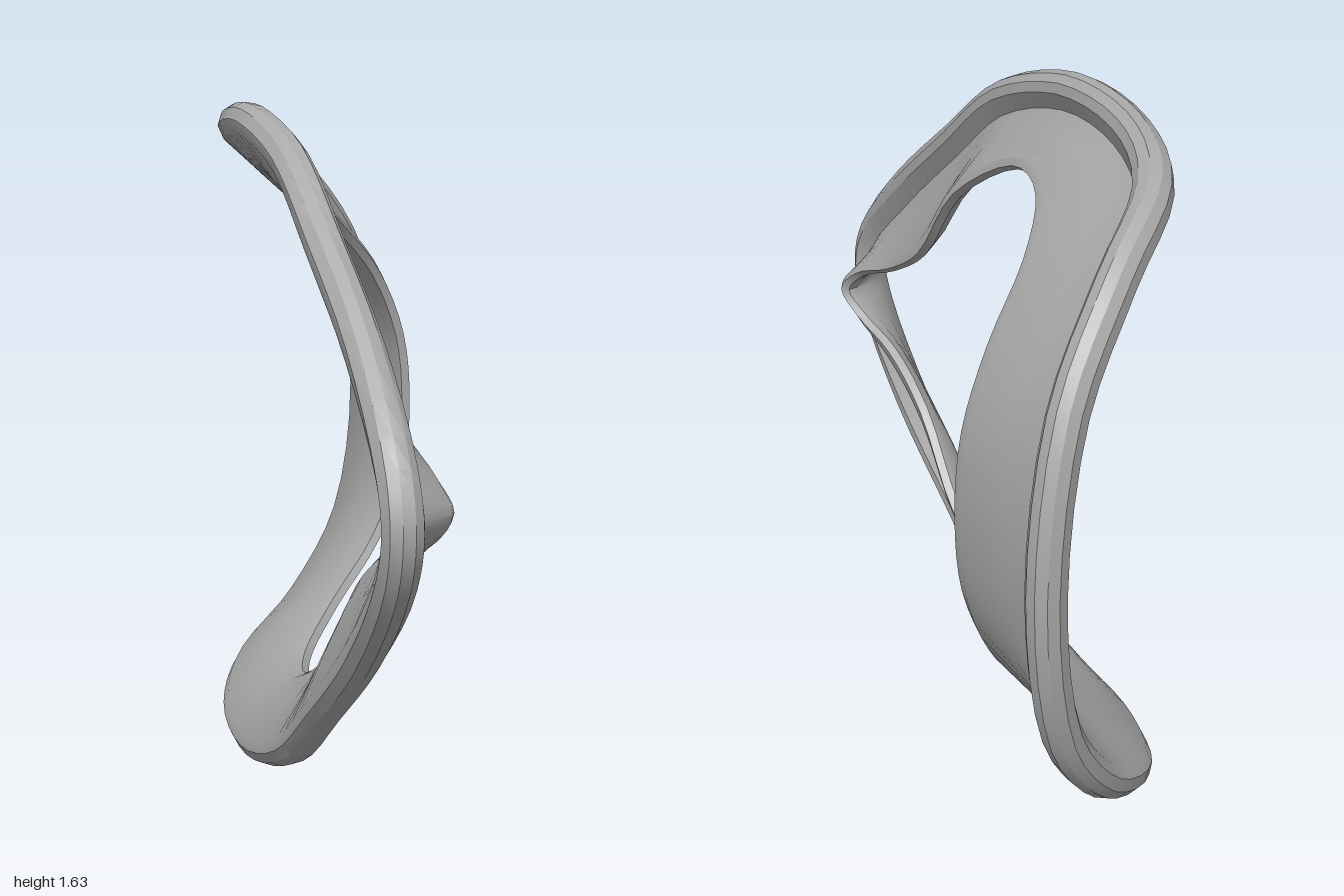
import * as THREE from 'three';
import { toCreasedNormals } from 'three/addons/utils/BufferGeometryUtils.js';

// Half of the ring, nose to back: rim centre and inner edge as [x, offset from mid height, z]
const HALF = [
  [[0.31, 0, 0.95], [0.37, 0, 0.735]],
  [[0.29, 0.11, 0.91], [0.33, 0.055, 0.70]],
  [[0.19, 0.32, 0.70], [0.24, 0.115, 0.58]],
  [[0.06, 0.52, 0.47], [0.155, 0.22, 0.42]],
  [[-0.06, 0.69, 0.26], [0.065, 0.44, 0.24]],
  [[-0.20, 0.77, 0.02], [-0.07, 0.58, 0.03]],
  [[-0.31, 0.76, -0.25], [-0.115, 0.585, -0.2]],
  [[-0.335, 0.71, -0.52], [-0.08, 0.50, -0.39]],
  [[-0.24, 0.59, -0.75], [0, 0.36, -0.53]],
  [[-0.14, 0.37, -0.90], [0.055, 0.19, -0.59]],
  [[-0.10, 0, -0.957], [0.07, 0, -0.605]],
];
const MID_Y = 0.815;
const SEGMENTS = 80;

// Closed smooth curve through one column of HALF, mirrored top to bottom
function loopCurve(column) {
  const point = (row, side) => {
    const [x, dy, z] = row[column];
    return new THREE.Vector3(x, MID_Y + side * dy, z);
  };
  const lower = HALF.map((row) => point(row, -1));
  const upper = HALF.slice(1, -1).reverse().map((row) => point(row, 1));
  return new THREE.CatmullRomCurve3([...lower, ...upper], true, 'centripetal');
}

// Cross-section: round bead at the rim, groove in front, thin blade to the inner edge
function section(length) {
  const r = 0.045;
  const bead = [50, 85, 120, 155, 190, 230, 270].map((deg) => {
    const a = THREE.MathUtils.degToRad(deg);
    return [r * Math.cos(a), r * Math.sin(a)];
  });
  return [
    ...bead,
    [0.45 * length, -0.04], [0.88 * length, -0.025], [length, -0.008],
    [length, 0.014], [0.9 * length, 0.02], [0.5 * length, -0.002], [0.055, -0.008],
  ];
}

function ringGeometry() {
  const rim = loopCurve(0);
  const inner = loopCurve(1);
  const positions = [];
  const index = [];
  const count = section(1).length;
  for (let i = 0; i < SEGMENTS; i++) {
    const t = i / SEGMENTS;
    const centre = rim.getPoint(t);
    const across = inner.getPoint(t).sub(centre);
    const length = across.length();
    across.normalize();
    const normal = rim.getTangent(t).cross(across).normalize();
    for (const [u, n] of section(length)) {
      const p = centre.clone().addScaledVector(across, u).addScaledVector(normal, n);
      positions.push(p.x, p.y, p.z);
    }
    for (let j = 0; j < count; j++) {
      const k = (j + 1) % count;
      const here = i * count;
      const next = ((i + 1) % SEGMENTS) * count;
      index.push(here + j, here + k, next + j, here + k, next + k, next + j);
    }
  }
  const geometry = new THREE.BufferGeometry();
  geometry.setAttribute('position', new THREE.Float32BufferAttribute(positions, 3));
  geometry.setIndex(index);
  return toCreasedNormals(geometry, 0.55);
}

export function createModel() {
  const grey = new THREE.MeshStandardMaterial({ color: 0xa8a8a8 });
  grey.name = 'grey';
  const ring = new THREE.Mesh(ringGeometry(), grey);
  ring.name = 'curvedRing';
  const group = new THREE.Group();
  group.name = 'beadedRing';
  group.add(ring);
  return group;
}
